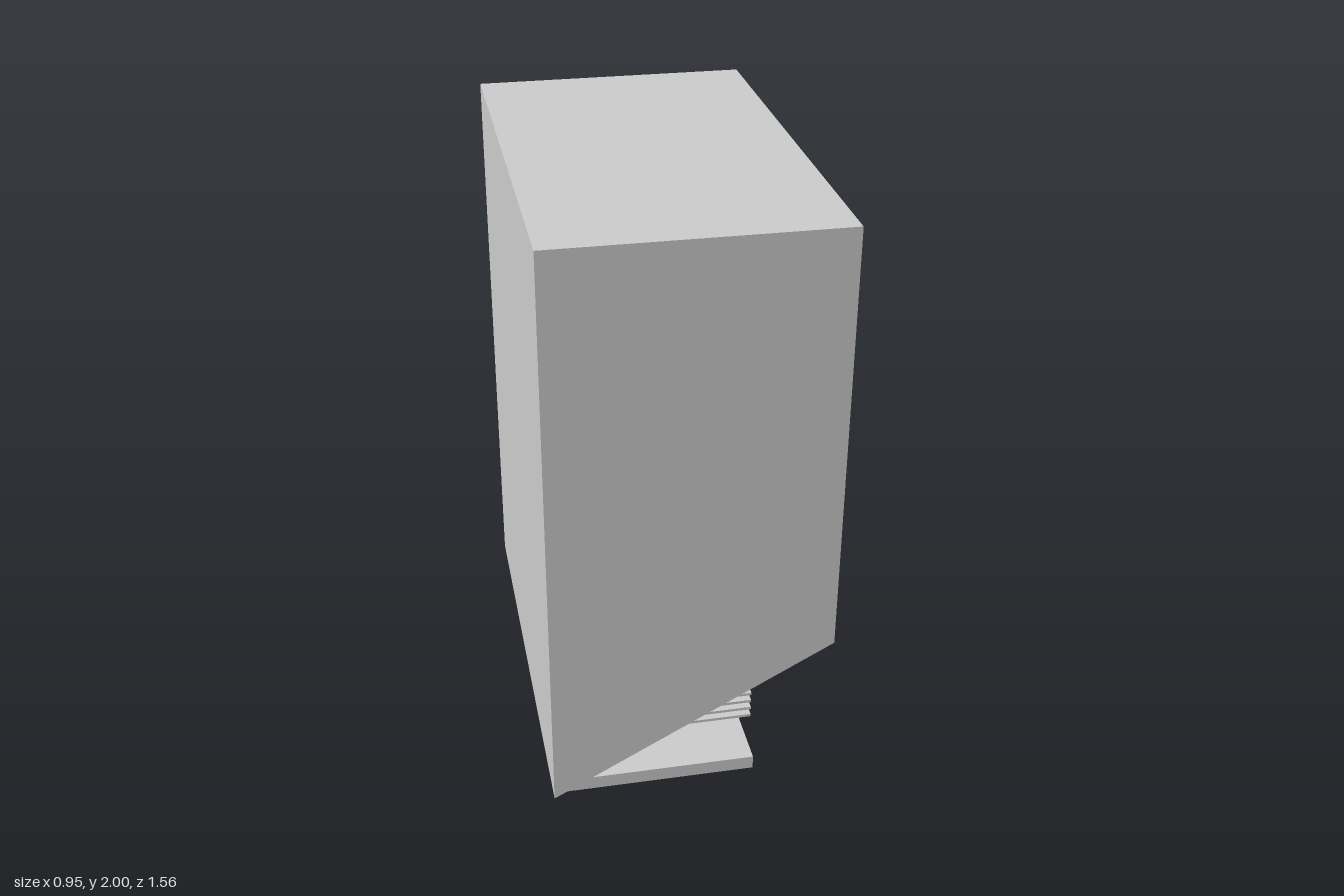
import * as THREE from 'three';

const grey = new THREE.MeshStandardMaterial({ color: 0xcccccc, flatShading: true });

// Rectangular ring: low-x edge at (x0, y0), high-x edge at (x1, y1), half width w along z
const ring = (x0, y0, x1, y1, w) => [
  [x0, y0, w], [x1, y1, w], [x1, y1, -w], [x0, y0, -w],
];

// Skin successive rings with flat quads and close both ends
function loft(rings) {
  const pos = [];
  const quad = (a, b, c, d) => pos.push(...a, ...b, ...c, ...a, ...c, ...d);
  quad(...rings[0]);
  for (let r = 0; r < rings.length - 1; r++) {
    const A = rings[r], B = rings[r + 1];
    for (let i = 0; i < 4; i++) {
      const j = (i + 1) % 4;
      quad(A[i], B[i], B[j], A[j]);
    }
  }
  quad(...[...rings[rings.length - 1]].reverse());
  const g = new THREE.BufferGeometry();
  g.setAttribute('position', new THREE.Float32BufferAttribute(pos, 3));
  g.computeVertexNormals();
  return g;
}

function addBox(parent, name, x0, x1, y0, y1, halfZ) {
  const m = new THREE.Mesh(new THREE.BoxGeometry(x1 - x0, y1 - y0, 2 * halfZ), grey);
  m.position.set((x0 + x1) / 2, (y0 + y1) / 2, 0);
  m.name = name;
  parent.add(m);
}

export function createModel() {
  const model = new THREE.Group();
  model.name = 'ventHood';

  // Tall housing with a slanted underside, a bevelled rim and a tapered cavity
  const housing = new THREE.Mesh(loft([
    ring(-0.475, 2, 0.475, 2, 0.78),
    ring(-0.475, 0, 0.475, 0.52, 0.78),
    ring(-0.39, 0.03, 0.39, 0.455, 0.675),
    ring(-0.33, 0.69, 0.33, 1.05, 0.57),
  ]), grey);
  housing.name = 'housing';
  model.add(housing);

  // Flat tray under the opening
  addBox(model, 'basePlate', -0.45, 0.215, 0.015, 0.063, 0.77);

  // Stack of thin horizontal slats
  const slats = new THREE.Group();
  slats.name = 'slats';
  for (let i = 0; i < 12; i++) {
    const y = 0.093 + i * 0.0314;
    addBox(slats, 'slat', -0.25, 0.25, y - 0.005, y + 0.005, 0.59);
  }
  model.add(slats);

  return model;
}
